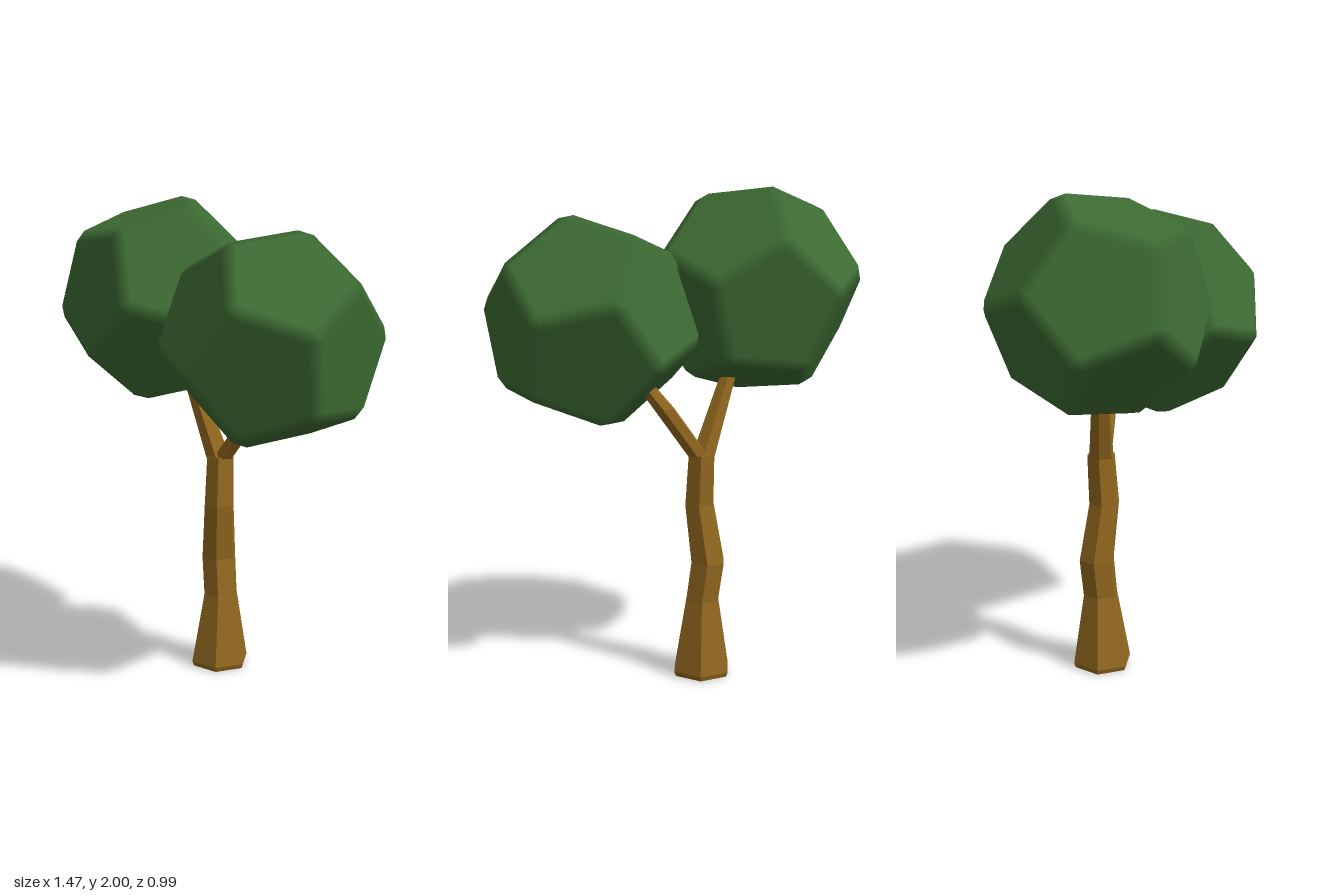
import * as THREE from 'three';
import { ConvexGeometry } from 'three/addons/geometries/ConvexGeometry.js';

const bark = new THREE.MeshStandardMaterial({ color: 0x94691f, flatShading: true });
const leaf = new THREE.MeshStandardMaterial({ color: 0x3d6b33 });

// Six-sided limb through sections [x, y, z, radius]
function limb(name, sections) {
  const n = sections.length - 1;
  const geo = new THREE.CylinderGeometry(1, 1, n, 6, n, false, Math.PI / 6);
  const pos = geo.attributes.position;
  for (let i = 0; i < pos.count; i++) {
    const [x, y, z, r] = sections[Math.round(pos.getY(i) + n / 2)];
    pos.setXYZ(i, x + pos.getX(i) * r, y, z + pos.getZ(i) * r);
  }
  geo.computeVertexNormals();
  const mesh = new THREE.Mesh(geo, bark);
  mesh.name = name;
  return mesh;
}

// Dodecahedron with bevelled edges: each pentagon is shrunk in its own plane
function bevelledDodecahedron(radius, shrink) {
  const phi = (1 + Math.sqrt(5)) / 2;
  const corners = [], normals = [];
  for (const a of [-1, 1]) for (const b of [-1, 1]) {
    for (const c of [-1, 1]) corners.push(new THREE.Vector3(a, b, c));
    for (let k = 0; k < 3; k++) {
      const v = [0, 0, 0], f = [0, 0, 0];
      v[k] = a / phi; v[(k + 1) % 3] = b * phi;
      f[(k + 1) % 3] = a * phi; f[(k + 2) % 3] = b;
      corners.push(new THREE.Vector3(...v));
      normals.push(new THREE.Vector3(...f).normalize());
    }
  }
  corners.forEach(v => v.setLength(radius));
  const points = [];
  for (const n of normals) {
    const ring = corners.filter(v => v.dot(n) > 0.75 * radius);
    const centre = n.clone().multiplyScalar(ring[0].dot(n));
    ring.forEach(v => points.push(centre.clone().lerp(v, shrink)));
  }
  const geo = new ConvexGeometry(points);
  // Flat pentagons, smoothly shaded bevels
  const pos = geo.attributes.position, p = new THREE.Vector3();
  for (let i = 0; i < pos.count; i++) {
    p.fromBufferAttribute(pos, i);
    const n = normals.reduce((best, f) => (f.dot(p) > best.dot(p) ? f : best));
    geo.attributes.normal.setXYZ(i, n.x, n.y, n.z);
  }
  return geo;
}

// Crown turned so that one edge runs along `edge` and faces `out`
function crown(name, geo, centre, edge, out) {
  const y = new THREE.Vector3(...out).normalize();
  const z = new THREE.Vector3(...edge).cross(y).normalize();
  const x = y.clone().cross(z);
  const mesh = new THREE.Mesh(geo, leaf);
  mesh.quaternion.setFromRotationMatrix(new THREE.Matrix4().makeBasis(x, y, z));
  mesh.position.set(...centre);
  mesh.name = name;
  return mesh;
}

export function createModel() {
  const tree = new THREE.Group();
  tree.name = 'tree';

  // Crooked trunk with a flared foot
  tree.add(limb('trunk', [
    [-0.055, 0, -0.114, 0.12],
    [-0.055, 0.02, -0.114, 0.128],
    [-0.055, 0.32, -0.12, 0.075],
    [-0.074, 0.48, -0.132, 0.076],
    [-0.05, 0.72, -0.103, 0.066],
    [-0.053, 0.93, -0.115, 0.06],
  ]));

  // Forked branches reaching into the crowns
  tree.add(limb('rightBranch', [
    [-0.062, 0.92, -0.112, 0.053],
    [-0.175, 1.21, -0.095, 0.038],
    [-0.22, 1.33, -0.09, 0.03],
  ]));
  tree.add(limb('leftBranch', [
    [-0.04, 0.92, -0.115, 0.045],
    [0.12, 1.13, -0.115, 0.045],
    [0.22, 1.26, -0.09, 0.035],
  ]));

  // Two leafy crowns
  const foliage = bevelledDodecahedron(0.46, 0.84);
  tree.add(crown('rightCrown', foliage, [-0.32, 1.585, -0.075], [0.633, -0.114, 0.765], [0.25, 0.963, -0.088]));
  tree.add(crown('leftCrown', foliage, [0.345, 1.467, 0.075], [0.608, 0.787, -0.084], [0.025, 0.08, 0.996]));
  return tree;
}
